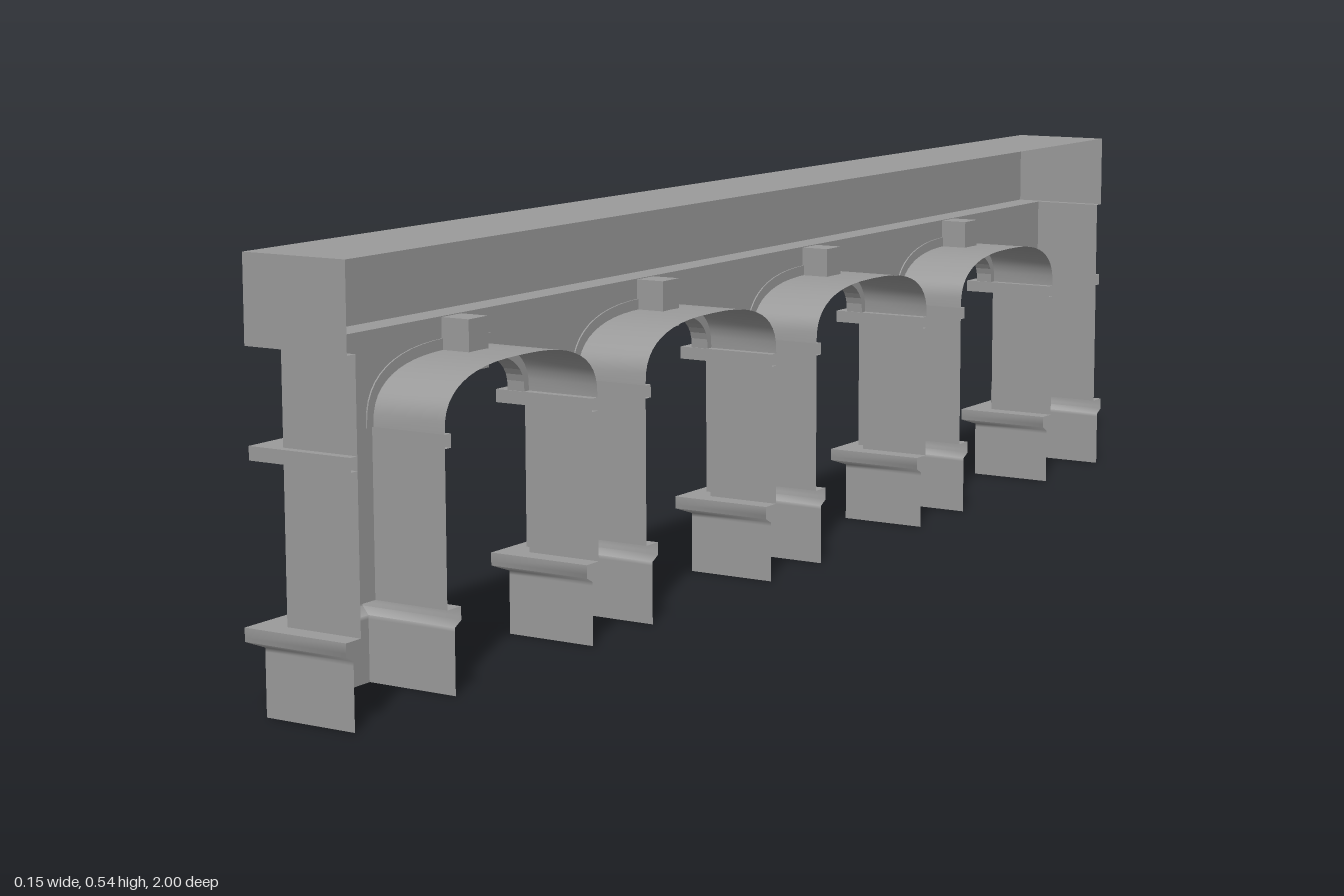
import * as THREE from 'three';
import { toCreasedNormals } from 'three/addons/utils/BufferGeometryUtils.js';

const material = new THREE.MeshStandardMaterial({ color: 0x9a9a9a, side: THREE.DoubleSide });
const BACK = 0.074, WALL = -0.033, FRONT = -0.074;   // x of open back, wall face, front mouldings
const SPRING = 0.317, APEX = 0.392, SOFFIT = 0.433, TOP = 0.541;
const END = 0.973, BEAM_END = 0.988;

const PIERS = [[-END, -0.81], [-0.492, -0.382], [-0.055, 0.055], [0.382, 0.492], [0.81, END]];

function add(group, name, geometry) {
  const mesh = new THREE.Mesh(geometry, material);
  mesh.name = name;
  group.add(mesh);
  return mesh;
}

// Skin a list of rows, each with the same number of [x, y, z] points; square corners stay sharp
function loft(rows) {
  const n = rows[0].length, index = [];
  for (let r = 0; r < rows.length - 1; r++) {
    for (let i = 0; i < n - 1; i++) {
      const a = r * n + i, b = a + 1, c = a + n, d = c + 1;
      index.push(a, c, b, b, c, d);
    }
  }
  const geo = new THREE.BufferGeometry();
  geo.setAttribute('position', new THREE.Float32BufferAttribute(rows.flat(2), 3));
  geo.setIndex(index);
  return toCreasedNormals(geo, 1.25);
}

// Plan outline of a block that is open towards the back
const uRow = (y, x, z0, z1) => [[BACK, y, z1], [x, y, z1], [x, y, z0], [BACK, y, z0]];

// Points of a rounded, flattened arch from low z to high z
function archPoints(zc, half, rise, steps = 24) {
  const pts = [];
  for (let i = 0; i <= steps; i++) {
    const t = Math.PI * (1 - i / steps), c = Math.cos(t), s = Math.max(0, Math.sin(t));
    pts.push(new THREE.Vector2(
      zc + half * Math.sign(c) * Math.abs(c) ** 0.76,
      SPRING + rise * s ** 0.76));
  }
  return pts;
}

// Half-round column against the wall, between two heights
function column(y0, y1) {
  const profile = [
    [0.038, y0], [0.038, y0 + 0.019], [0.034, y0 + 0.026], [0.03, y0 + 0.028],
    [0.03, y1 - 0.034], [0.032, y1 - 0.027], [0.036, y1 - 0.016], [0.037, y1],
  ].map(([r, y]) => new THREE.Vector2(r, y));
  return new THREE.LatheGeometry(profile, 16, Math.PI, Math.PI).translate(WALL, 0, 0);
}

// Rows are [height, front x, outward growth along z]
const PIER_PROFILE = [
  [0, -0.055, 0.014], [0.078, -0.055, 0.014], [0.083, -0.055, 0.014], [0.09, FRONT, 0.027],
  [0.095, FRONT, 0.027], [0.107, FRONT, 0.027], [0.107, WALL, 0], [SPRING, WALL, 0],
];
const IMPOST_PROFILE = [[0.3, WALL, 0], [0.3, FRONT, 0.012], [SPRING, FRONT, 0.012], [SPRING, WALL, 0]];

export function createModel() {
  const model = new THREE.Group();
  model.name = 'arcade';

  // Piers: base, chamfered plinth moulding and shaft in one shell, with an impost around it
  PIERS.forEach(([z0, z1], i) => {
    const pier = new THREE.Group();
    pier.name = 'pier';
    model.add(pier);
    const shell = (profile) => loft(profile.map(([y, x, g]) => uRow(y, x, z0 - g, z1 + g)));
    add(pier, 'pierShell', shell(PIER_PROFILE));
    add(pier, 'impost', shell(IMPOST_PROFILE));
    const zc = (z0 + z1) / 2;
    if (i === 0 || i === PIERS.length - 1) {
      // Two stacked half columns on the end piers
      add(pier, 'lowerColumn', column(0.107, 0.3)).position.z = zc;
      add(pier, 'upperColumn', column(SPRING, SOFFIT)).position.z = zc;
    } else {
      // Flat pilaster on the inner piers
      add(pier, 'pilaster', new THREE.BoxGeometry(0.024, 0.193, 0.058))
        .position.set(WALL - 0.011, 0.2035, zc);
    }
  });

  // Spandrel wall, notched by the arches
  const wall = new THREE.Shape();
  wall.moveTo(-END, SOFFIT);
  wall.lineTo(-END, SPRING);

  for (let i = 0; i < PIERS.length - 1; i++) {
    const z0 = PIERS[i][1], z1 = PIERS[i + 1][0];
    const zc = (z0 + z1) / 2, half = (z1 - z0) / 2;
    const arc = archPoints(zc, half, APEX - SPRING);
    arc.forEach((p) => wall.lineTo(p.x, p.y));

    const arch = new THREE.Group();
    arch.name = 'arch';
    model.add(arch);

    // Curved underside of the arch
    add(arch, 'intrados', loft([WALL, BACK].map((x) => arc.map((p) => [x, p.y, p.x]))));

    // Raised band around the arch
    const band = new THREE.Shape([
      ...archPoints(zc, half + 0.012, APEX - SPRING + 0.014),
      ...archPoints(zc, half - 0.01, APEX - SPRING - 0.014).reverse(),
    ]);
    add(arch, 'archivolt', new THREE.ExtrudeGeometry(band, { depth: 0.026, bevelEnabled: false })
      .rotateY(-Math.PI / 2).translate(WALL + 0.002, 0, 0));

    // Keystone running through the wall
    add(arch, 'keystone', new THREE.BoxGeometry(0.07, 0.064, 0.04))
      .position.set(-0.027, 0.4, zc);
  }

  wall.lineTo(END, SPRING);
  wall.lineTo(END, SOFFIT);
  add(model, 'spandrelWall', new THREE.ShapeGeometry(wall).rotateY(-Math.PI / 2).translate(WALL, 0, 0));

  // End walls above the imposts
  for (const side of [-1, 1]) {
    const end = add(model, 'endWall', new THREE.PlaneGeometry(BACK - WALL, SOFFIT - SPRING));
    end.position.set((BACK + WALL) / 2, (SOFFIT + SPRING) / 2, side * END);
    if (side < 0) end.rotation.y = Math.PI;
  }

  // Top beam with soffit and flat top, open at the back
  add(model, 'beam', loft([
    uRow(SOFFIT, WALL, -END, END),
    uRow(SOFFIT, FRONT, -BEAM_END, BEAM_END),
    uRow(TOP, FRONT, -BEAM_END, BEAM_END),
    uRow(TOP, FRONT, 0, 0),
  ]));

  return model;
}
